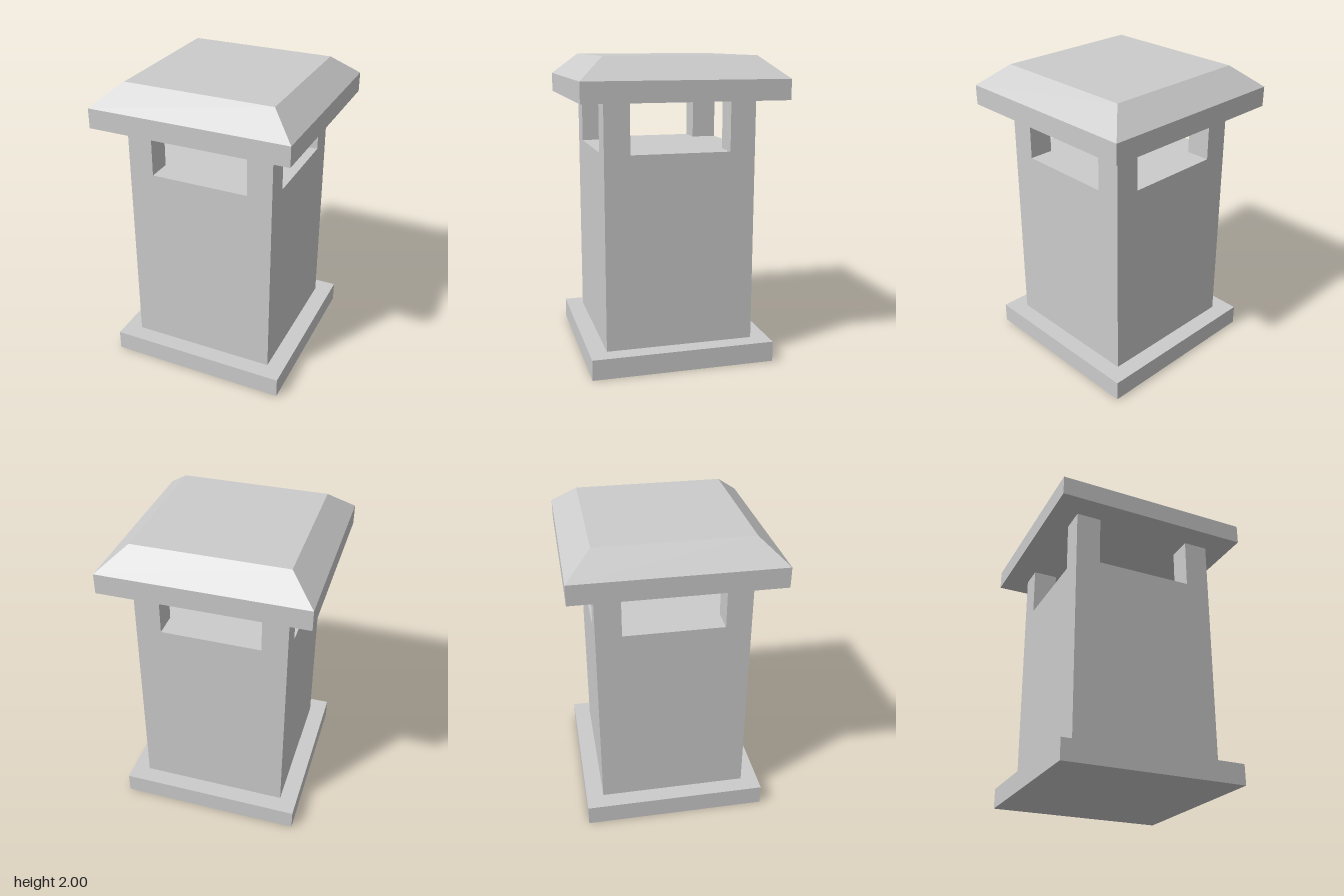
import * as THREE from 'three';

export function createModel() {
  const group = new THREE.Group();
  const material = new THREE.MeshStandardMaterial({ color: 0xcccccc, flatShading: true });

  const add = (name, geometry, x, y, z) => {
    const mesh = new THREE.Mesh(geometry, material);
    mesh.name = name;
    mesh.position.set(x, y, z);
    group.add(mesh);
  };

  // Square block of a given width between two heights
  const block = (name, width, y0, y1, x = 0, z = 0) =>
    add(name, new THREE.BoxGeometry(width, y1 - y0, width), x, (y0 + y1) / 2, z);

  const base = 0.135, sill = 1.4, eaves = 1.73, rim = 1.86, top = 2;
  const bodyHalf = 0.49, capHalf = 0.655, postWidth = 0.165;

  // Plinth and solid shaft
  block('plinth', 1.21, 0, base);
  block('shaft', bodyHalf * 2, base, sill);

  // Corner posts leave an opening on each side
  const p = bodyHalf - postWidth / 2;
  for (const sx of [-1, 1])
    for (const sz of [-1, 1])
      block('cornerPost', postWidth, sill, eaves, sx * p, sz * p);

  // Overhanging cap with a sloped, flat-topped roof
  block('capSlab', capHalf * 2, eaves, rim);
  const roof = new THREE.CylinderGeometry(
    bodyHalf * Math.SQRT2, capHalf * Math.SQRT2, top - rim, 4
  ).rotateY(Math.PI / 4).toNonIndexed();
  roof.computeVertexNormals();
  add('slopedRoof', roof, 0, (rim + top) / 2, 0);

  return group;
}
